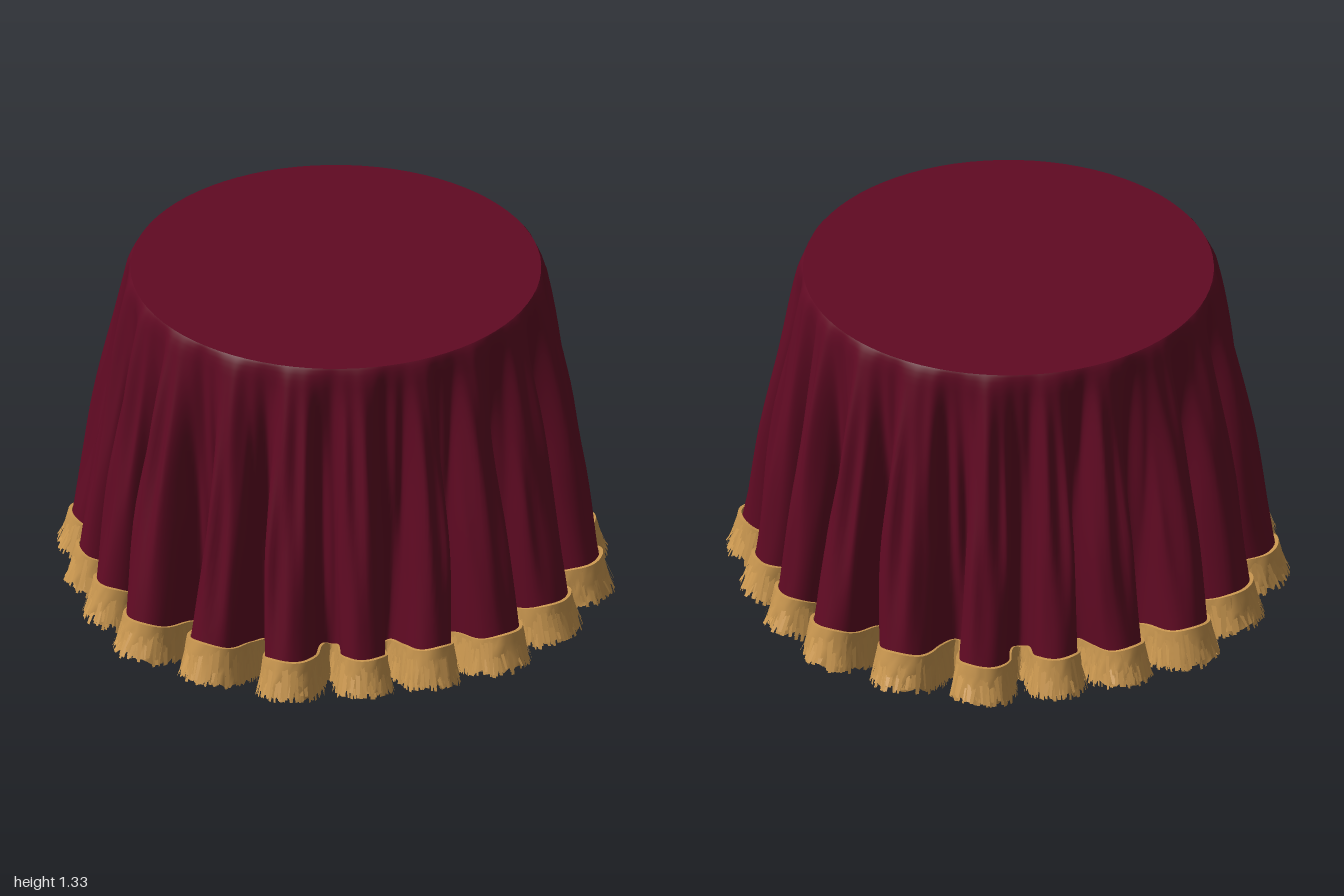
import * as THREE from 'three';

const TOP = 1.33, LOBES = 20, STEPS = 48, COLS = LOBES * STEPS;
// valley angles (degrees) inside one quarter turn, mirrored to the rest
const VALLEYS = [0, 16.5, 35, 55, 73.5];
// extra reach of each fold in a quarter turn
const REACH = [0, 0.036, 0.02, 0.036, 0];
const valleyAngle = (k) => THREE.MathUtils.degToRad(Math.floor(k / 5) * 90 + VALLEYS[k % 5]);

let seed = 7;
const rand = () => {
  seed = (seed * 16807) % 2147483647;
  return seed / 2147483647;
};

// 0 in a valley, 1 on the tip of a fold
const crest = (s) => 0.5 - 0.5 * Math.cos(2 * Math.PI * s);

// Point of the draped cloth: s counts folds around, v runs from table edge (0) to hem (1)
function drape(s, v) {
  const k = Math.floor(s), u = (s - k) * 2 - 1;
  const a0 = valleyAngle(k), a1 = valleyAngle(k + 1);
  const fold = Math.min(1, v * 1.6);
  const bend = fold * (0.16 * Math.sin(2 * Math.PI * u) + 0.16 * Math.sin(Math.PI * u));
  let a = (a0 + a1) / 2 + (a1 - a0) / 2 * (u + bend);
  const wave = Math.sin(Math.PI * v);
  a += 0.025 * wave * Math.sin(a * 7 + 1) + 0.015 * wave * Math.sin(a * 13);
  const edge = 0.748 + 0.012 * Math.sqrt(Math.min(1, v * 25));
  const outer = edge + 0.185 * Math.pow(v, 0.87) + REACH[k % 5] * v, inner = edge - 0.065 * v;
  let r = inner + (outer - inner) * crest(s);
  // small irregular creases that fade out at edge and hem
  r += wave * (0.01 * Math.sin(a * 47 + v * 3) + 0.008 * Math.sin(a * 73 - v * 4));
  const hemY = 0.1 + 0.075 * crest(s);
  return new THREE.Vector3(Math.sin(a) * r, TOP - v * (TOP - hemY), Math.cos(a) * r);
}

// Closed ring surface from a point rule
function ringSurface(rows, rule) {
  const pos = [], idx = [];
  for (let j = 0; j <= rows; j++)
    for (let i = 0; i < COLS; i++) pos.push(...rule(i, j / rows).toArray());
  for (let j = 0; j < rows; j++)
    for (let i = 0; i < COLS; i++) {
      const n = (i + 1) % COLS;
      const a = j * COLS + i, b = j * COLS + n, c = a + COLS, d = b + COLS;
      idx.push(a, c, b, b, c, d);
    }
  const g = new THREE.BufferGeometry();
  g.setAttribute('position', new THREE.Float32BufferAttribute(pos, 3));
  g.setIndex(idx);
  g.computeVertexNormals();
  return g;
}

// Hem position with its tangent and outward direction
function hem(s) {
  const p = drape(s, 1);
  const q0 = drape((s - 0.01 + LOBES) % LOBES, 1), q1 = drape((s + 0.01) % LOBES, 1);
  const t = q1.sub(q0).setY(0).normalize();
  return { p, t, n: new THREE.Vector3(-t.z, 0, t.x) };
}

// Upper and lower edge of the fringe; the lower edge is raised on the fold tips
const fringeTop = (s) => 0.148 + 0.075 * crest(s) + 0.006 * Math.sin(s * Math.PI * 1.3) + 0.003 * Math.sin(s * Math.PI * 8.6);
const fringeEnd = (s) => 0.022 + 0.068 * Math.pow(crest(s), 1.6);

export function createModel() {
  const model = new THREE.Group();
  const cloth = new THREE.MeshStandardMaterial({ color: 0x600a23, side: THREE.DoubleSide });
  cloth.name = 'burgundy cloth';
  const gold = new THREE.MeshStandardMaterial({ color: 0xcb9850, side: THREE.DoubleSide });
  gold.name = 'gold fringe';
  const add = (name, geometry, material) => {
    const m = new THREE.Mesh(geometry, material);
    m.name = name;
    model.add(m);
    return m;
  };

  // flat round table top
  const top = add('clothTop', new THREE.CircleGeometry(0.749, 80).rotateX(-Math.PI / 2), cloth);
  top.position.y = TOP;

  // pleated skirt, with rows packed towards the table edge
  add('pleatedSkirt', ringSurface(22, (i, v) => drape(i / STEPS, Math.pow(v, 1.6))), cloth);

  // fringe: two ragged bands following the hem
  const hems = Array.from({ length: COLS }, (_, i) => hem(i / STEPS));
  const fringePoint = (i, f, lift, rough, flare) => {
    const s = i / STEPS, { p, n } = hems[i];
    const q = p.clone().addScaledVector(n, lift + 0.008 * f + (rand() - 0.5) * rough * f);
    const grow = 1 + flare * f * crest(s);
    q.x *= grow;
    q.z *= grow;
    q.y = THREE.MathUtils.lerp(fringeTop(s), fringeEnd(s), f);
    if (f === 1) q.y += (rand() - 0.5) * 0.035;
    return q;
  };
  add('fringeOuterBand', ringSurface(4, (i, f) => fringePoint(i, f, 0.009, 0.018, 0.022)), gold);
  add('fringeInnerBand', ringSurface(2, (i, f) => {
    const q = fringePoint(i, f, -0.006, 0.012, 0.012);
    q.y -= 0.03 * (1 - f);
    return q;
  }), gold);
  // upper border joining band and cloth
  add('fringeBorder', ringSurface(1, (i, f) => {
    const { p, n } = hems[i];
    return p.clone().addScaledVector(n, -0.004 + 0.013 * f).setY(fringeTop(i / STEPS));
  }), gold);

  // loose tapered strands hanging over the bands
  const pos = [];
  for (let k = 0; k < 3600; k++) {
    const i = Math.floor(rand() * COLS), s = i / STEPS, c = crest(s);
    const { p, t, n } = hems[i];
    const w = 0.005 + rand() * 0.007, out = 0.012 + rand() * 0.02;
    const root = p.clone().addScaledVector(n, 0.01).setY(fringeTop(s) - 0.01 - rand() * 0.06);
    const tip = p.clone().multiplyScalar(1 + 0.024 * c).addScaledVector(n, out)
      .addScaledVector(t, (rand() - 0.5) * 0.025).setY(fringeEnd(s) - 0.018 + rand() * 0.035);
    const a = root.clone().addScaledVector(t, -w), b = root.clone().addScaledVector(t, w);
    const d = tip.clone().addScaledVector(t, -w * 0.6), e = tip.clone().addScaledVector(t, w * 0.6);
    for (const v of [a, d, b, b, d, e]) pos.push(v.x, Math.max(0, v.y), v.z);
  }
  const strands = new THREE.BufferGeometry();
  strands.setAttribute('position', new THREE.Float32BufferAttribute(pos, 3));
  strands.computeVertexNormals();
  add('fringeStrands', strands, gold);

  return model;
}
